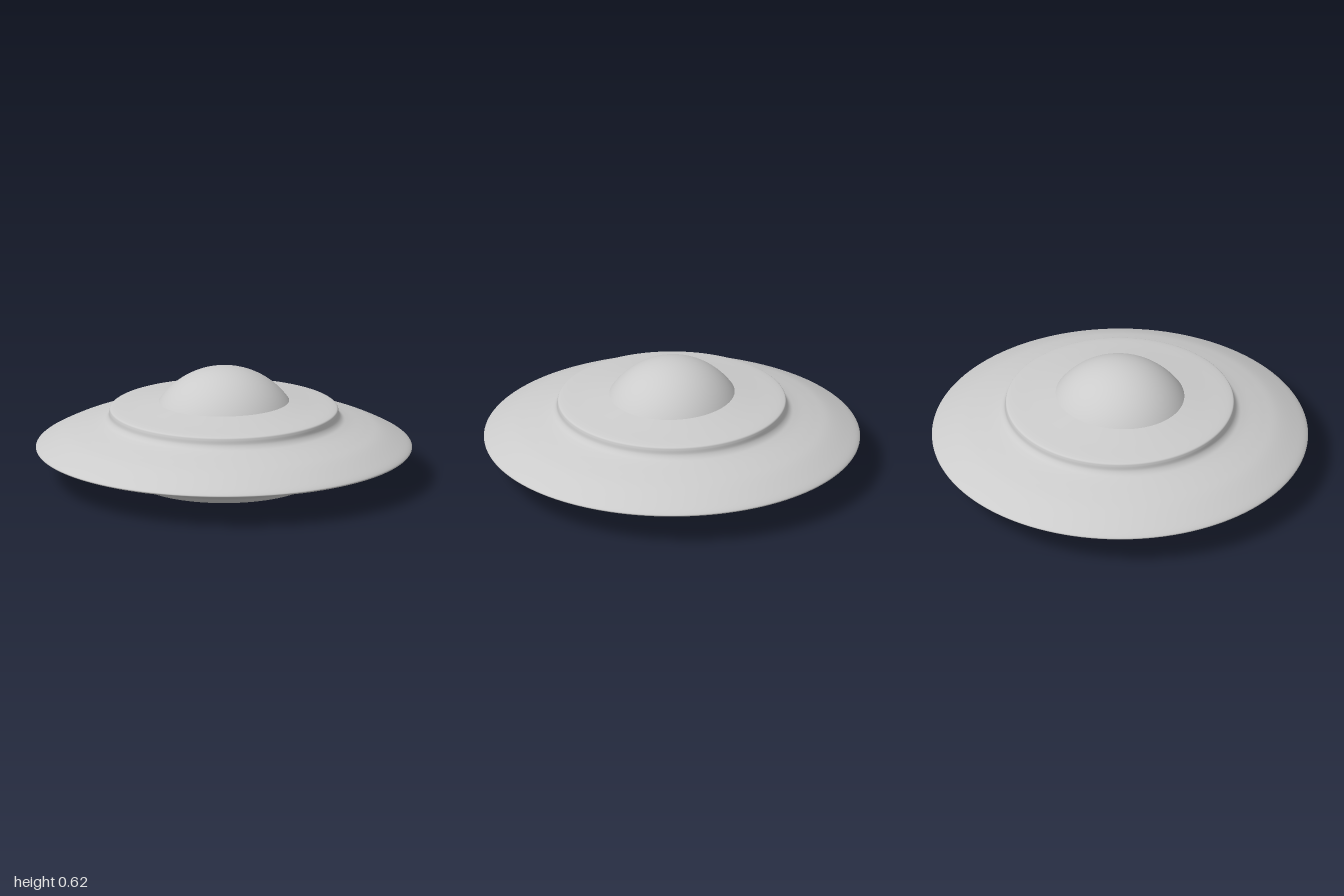
import * as THREE from 'three';

const material = new THREE.MeshStandardMaterial({ color: 0xcccccc, side: THREE.DoubleSide });

// Revolves a smooth curve through [radius, height] points
function revolve(name, points, samples) {
  const curve = new THREE.CatmullRomCurve3(points.map(([r, y]) => new THREE.Vector3(r, y, 0)), false, 'centripetal');
  const profile = curve.getPoints(samples).map((p) => new THREE.Vector2(p.x, p.y));
  const mesh = new THREE.Mesh(new THREE.LatheGeometry(profile, 128), material);
  mesh.name = name;
  return mesh;
}

export function createModel() {
  const group = new THREE.Group();
  group.name = 'flyingSaucer';

  // Hull: one thin shell, open underneath and below the dome
  group.add(revolve('hull', [
    [0.45, 0], [0.468, 0.003], [0.483, 0.013], [0.5, 0.03], [0.525, 0.043], [0.56, 0.054],
    [0.75, 0.108], [0.95, 0.164], [0.985, 0.174], [0.998, 0.18], [1, 0.185], [0.99, 0.196],
    [0.93, 0.23], [0.84, 0.272], [0.76, 0.298], [0.66, 0.328], [0.63, 0.341],
    [0.614, 0.36], [0.609, 0.385], [0.605, 0.396], [0.595, 0.401],
    [0.46, 0.422], [0.325, 0.443],
  ], 176));

  // Dome: spherical cap, slightly narrower front to back
  const baseRadius = 0.348, baseY = 0.439, height = 0.183;
  const radius = (baseRadius ** 2 + height ** 2) / (2 * height);
  const angle = Math.asin(baseRadius / radius);
  const dome = new THREE.Mesh(
    new THREE.SphereGeometry(radius, 96, 32, 0, Math.PI * 2, 0, angle), material);
  dome.name = 'dome';
  dome.position.y = baseY + height - radius;
  dome.scale.z = 0.955;
  group.add(dome);

  return group;
}
